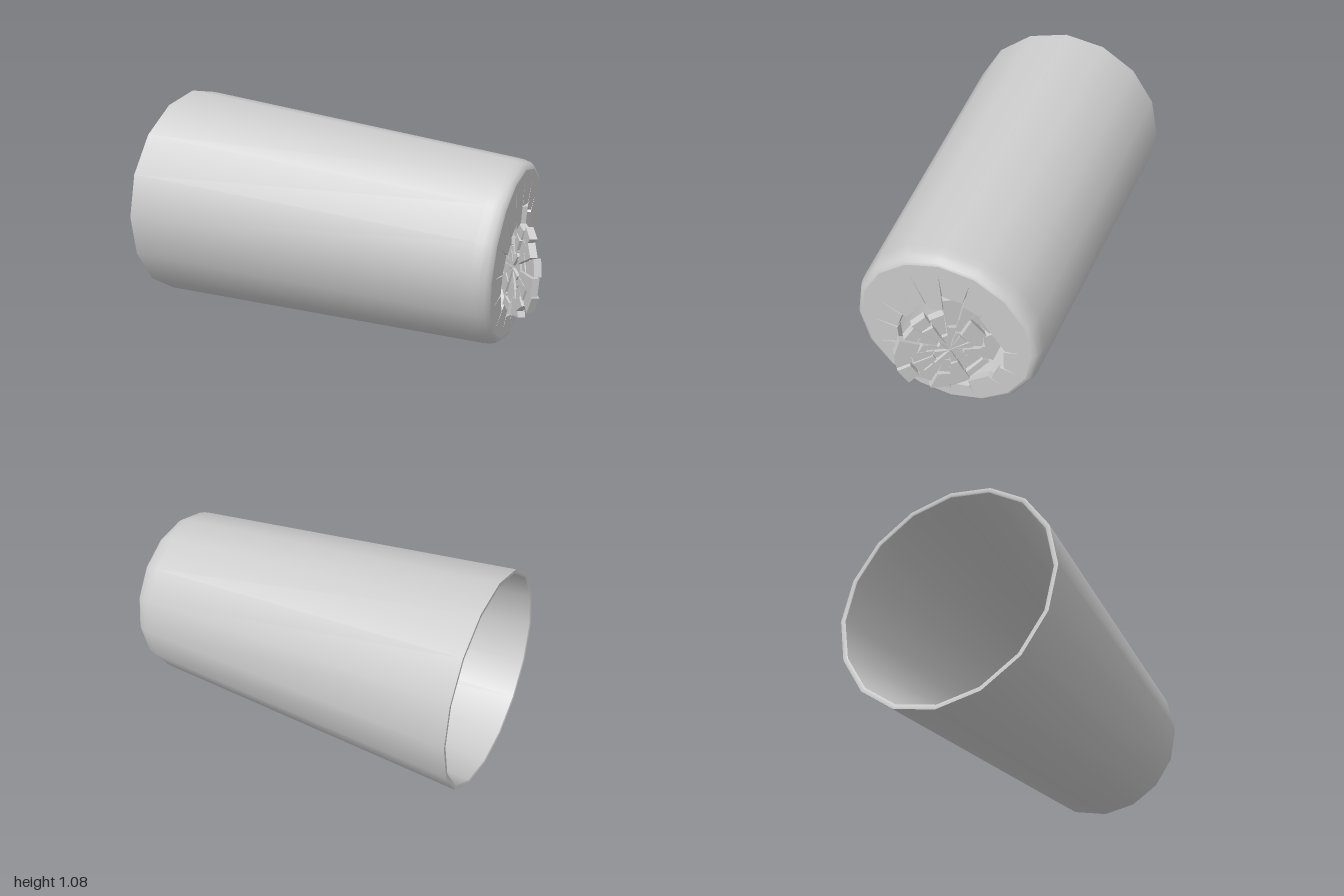
import * as THREE from 'three';

const material = new THREE.MeshStandardMaterial({ color: 0xcccccc, side: THREE.DoubleSide });
const SIDES = 16;
const LENGTH = 1.795;
const FLOOR = 0.035; // thickness of the broken base
const BASE_R = 0.4;

const V = (x, y) => new THREE.Vector2(x, y);
const polar = (r, a) => V(r * Math.cos(a), r * Math.sin(a));

// Centre of the impact and the tips of the cracks around it, counter-clockwise
const IMPACT = V(0.015, -0.07);
const crackTips = [
  [0.335, 0.065], [0.21, 0.31], [0.116, 0.4], [-0.02, 0.42], [-0.158, 0.4],
  [-0.26, 0.316], [-0.344, 0.205], [-0.363, 0.065], [-0.344, -0.074], [-0.27, -0.205],
  [-0.14, -0.27], [-0.015, -0.29], [0.1, -0.28], [0.25, -0.186], [0.316, -0.074],
].map(([x, y]) => V(x, y));
// Radius of the hole in each sector between two cracks
const holeRadii = [0.27, 0.28, 0.3, 0.22, 0.25, 0.23, 0.25, 0.25, 0.25, 0.21, 0.24, 0.25, 0.22, 0.24, 0.26];

const sectors = crackTips.map((tip, i) => {
  const start = tip.angle();
  let end = crackTips[(i + 1) % crackTips.length].angle();
  if (end < start) end += Math.PI * 2;
  return { tip, start, end, radius: holeRadii[i] };
});

function add(parent, name, geometry) {
  const mesh = new THREE.Mesh(geometry, material);
  mesh.name = name;
  parent.add(mesh);
  return mesh;
}

function slab(shape, depth) {
  return new THREE.ExtrudeGeometry(shape, { depth, bevelEnabled: false });
}

// Turned part with its axis along z
function turned(points) {
  return new THREE.LatheGeometry(points.map(([r, h]) => V(r, h)), SIDES).rotateX(Math.PI / 2);
}

// Base disc with a jagged hole and tapering cracks
function brokenBase() {
  const rim = [];
  for (let i = 0; i < SIDES; i++) rim.push(polar(BASE_R, (i / SIDES) * Math.PI * 2));
  const shape = new THREE.Shape(rim);
  const edge = [];
  for (const { tip, start, end, radius } of sectors) {
    const slit = 0.004 / radius;
    edge.push(tip.clone(), polar(radius, start + slit), polar(radius, end - slit));
  }
  shape.holes.push(new THREE.Path(edge.map((p) => p.add(IMPACT)).reverse()));
  return slab(shape, FLOOR);
}

// One piece of a sector between two radii, shrunk to leave a gap
function shard(inner, outer, start, end, skew) {
  const gap = 0.003;
  const r0 = inner + gap, r1 = outer - gap;
  const a0 = gap / r0, a1 = gap / r1;
  return slab(new THREE.Shape([
    polar(r0, start + Math.min(a0, 0.08)), polar(r1 - skew, start + a1),
    polar(r1, end - a1), polar(r0, end - Math.min(a0, 0.08)),
  ]), FLOOR);
}

export function createModel() {
  const model = new THREE.Group();
  model.name = 'brokenCup';

  // The cup lies on its side with its base towards +x
  const cup = new THREE.Group();
  cup.name = 'cup';
  cup.position.set(-0.87, 0.54, -0.155);
  cup.lookAt(0.875, 0.46, 0.26);
  model.add(cup);

  add(cup, 'outerWall', turned([
    [0.54, 0], [0.439, LENGTH - 0.085], [0.435, LENGTH - 0.05],
    [0.426, LENGTH - 0.02], [0.413, LENGTH - 0.005], [BASE_R, LENGTH],
  ]));
  add(cup, 'openRim', turned([[0.518, 0.004], [0.524, 0], [0.54, 0]]));
  add(cup, 'innerWall', turned([[BASE_R, LENGTH - FLOOR], [0.413, LENGTH - 0.075], [0.518, 0.004]]));
  add(cup, 'brokenBase', brokenBase()).position.z = LENGTH - FLOOR;

  // Shattered middle, swung half out of the hole
  const shards = new THREE.Group();
  shards.name = 'shards';
  shards.position.set(IMPACT.x, IMPACT.y, LENGTH);
  shards.rotation.y = 0.62;
  cup.add(shards);
  sectors.forEach(({ start, end, radius }, i) => {
    const first = 0.085 + 0.02 * Math.sin(i * 2.3);
    const second = 0.165 + 0.02 * Math.sin(i * 1.7 + 1);
    const rings = [0.004, first, second, radius];
    for (let k = 0; k < 3; k++) {
      const skew = k === 2 ? 0 : 0.012 * Math.sin(i * 3.1 + k);
      const piece = add(shards, 'shard', shard(rings[k], rings[k + 1], start, end, skew));
      piece.position.z = -FLOOR / 2 + 0.006 * Math.sin(i * 2.9 + k * 1.9);
    }
  });
  return model;
}
